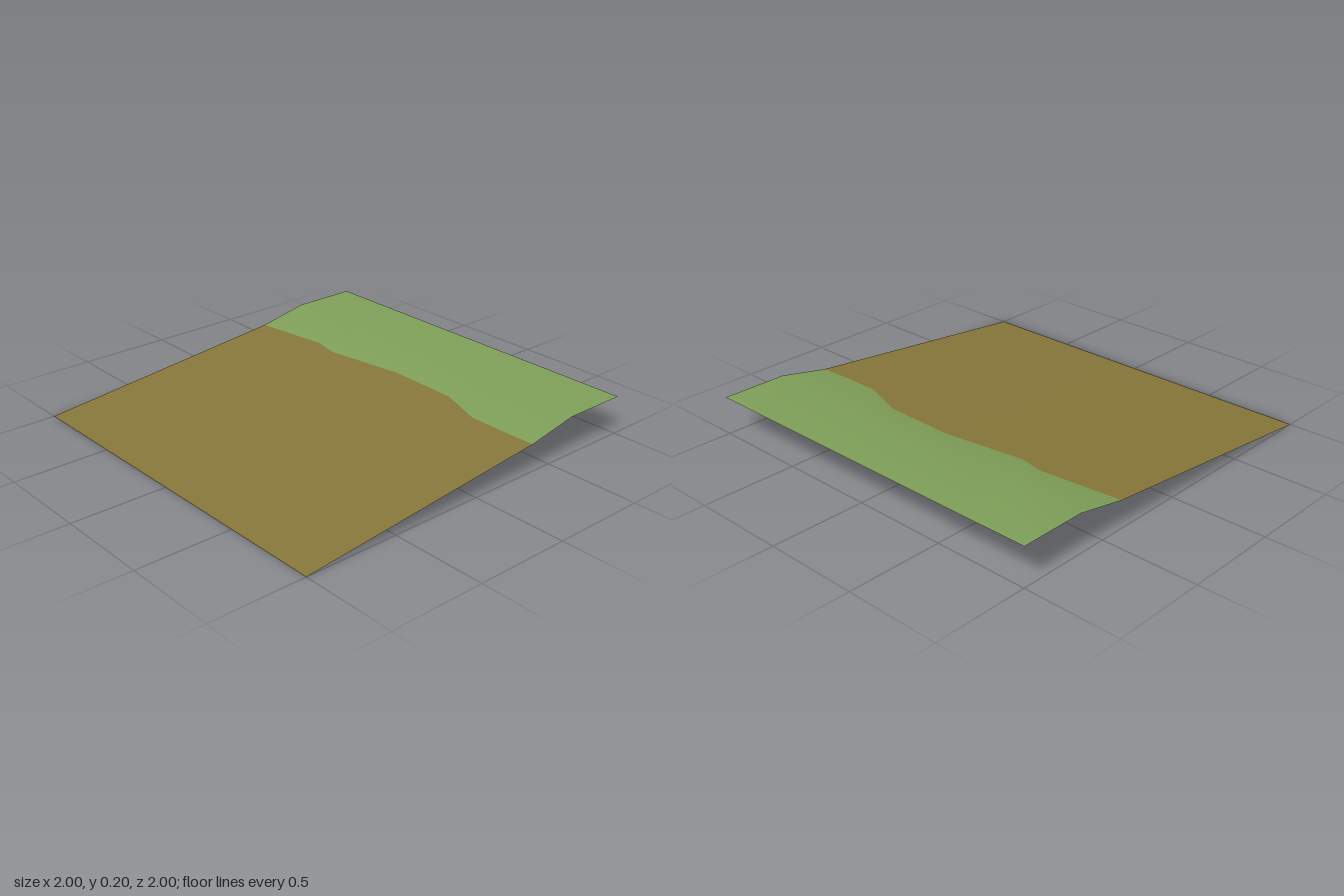
import * as THREE from 'three';

// Cross-sections along z: [z, x of grass line, its height, x of the crest]
const sections = [
  [-1, 0.375, 0.145, 0.65],
  [-0.58, 0.425, 0.15, 0.66],
  [-0.44, 0.4, 0.148, 0.65],
  [0, 0.463, 0.151, 0.69],
  [0.38, 0.455, 0.15, 0.68],
  [0.62, 0.37, 0.147, 0.64],
  [0.85, 0.37, 0.146, 0.64],
  [1, 0.375, 0.145, 0.65],
];

// Sheet joining rows of points; each row runs from -x to +x
function sheet(name, rows, material) {
  const n = rows[0].length;
  const index = [];
  for (let r = 0; r < rows.length - 1; r++) {
    for (let c = 0; c < n - 1; c++) {
      const a = r * n + c, b = a + n;
      index.push(a, b, a + 1, a + 1, b, b + 1);
    }
  }
  const geometry = new THREE.BufferGeometry();
  geometry.setAttribute('position', new THREE.Float32BufferAttribute(rows.flat(2), 3));
  geometry.setIndex(index);
  geometry.computeVertexNormals();
  const mesh = new THREE.Mesh(geometry, material);
  mesh.name = name;
  return mesh;
}

export function createModel() {
  const earth = new THREE.MeshStandardMaterial({ color: 0x86763a, side: THREE.DoubleSide });
  earth.name = 'earth brown';
  const grass = new THREE.MeshStandardMaterial({ color: 0x7e9e58, side: THREE.DoubleSide });
  grass.name = 'grass green';

  const group = new THREE.Group();
  group.name = 'groundTile';
  // Gentle bare slope
  group.add(sheet('earthSlope', sections.map(([z, x, y]) => [[-1, 0, z], [x, y, z]]), earth));
  // Steeper grassy bank with a level top
  group.add(sheet('grassBank', sections.map(([z, x, y, crest]) =>
    [[x, y, z], [crest, 0.2, z], [1, 0.2, z]]), grass));
  return group;
}
